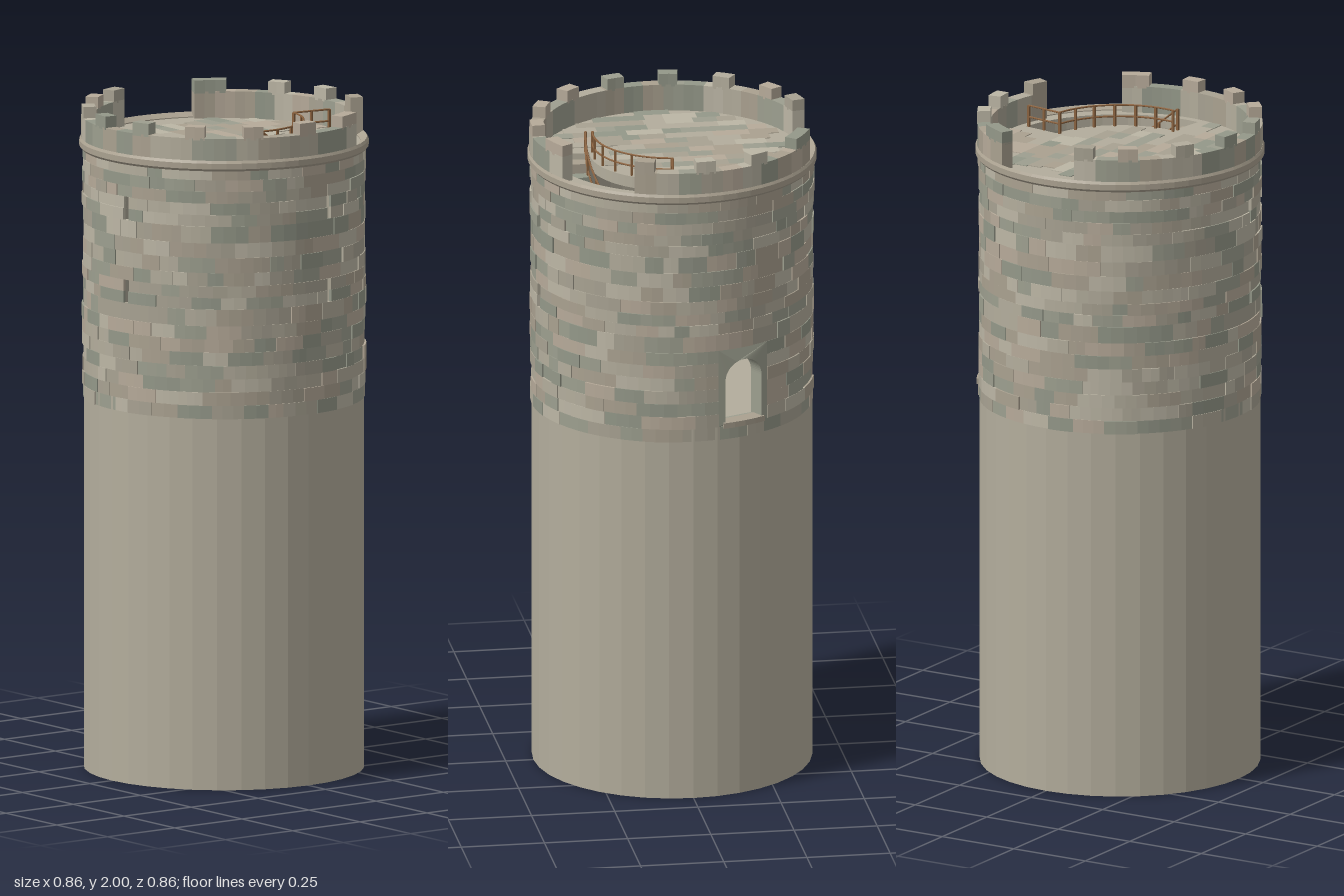
import * as THREE from 'three';
import { mergeGeometries } from 'three/addons/utils/BufferGeometryUtils.js';

const RAD = Math.PI / 180;
const STONES = [0xb3ad9c, 0xa8a292, 0x9d9f8f, 0xb6aa99, 0x949889, 0xaaa190, 0xbcb6a5];
const FLOOR_Y = 1.885;

let seed = 7;
const rand = () => (seed = (seed * 16807) % 2147483647) / 2147483647;
const material = (color) => new THREE.MeshStandardMaterial({ color, flatShading: true, side: THREE.DoubleSide });

// Azimuths are in degrees, from +z towards +x.
const polar = (az, r, y) => new THREE.Vector3(r * Math.sin(az * RAD), y, r * Math.cos(az * RAD));

// Flat ring sector, drawn for extrusion upwards
function sectorShape(r0, r1, a0, a1) {
  const n = Math.max(1, Math.ceil((a1 - a0) / 6));
  const pts = [];
  for (let i = 0; i <= n; i++) pts.push([a0 + ((a1 - a0) * i) / n, r1]);
  for (let i = n; i >= 0; i--) pts.push([a0 + ((a1 - a0) * i) / n, r0]);
  return new THREE.Shape(pts.map(([a, r]) => new THREE.Vector2(r * Math.sin(a * RAD), -r * Math.cos(a * RAD))));
}

function raise(shape, y0, y1) {
  const g = new THREE.ExtrudeGeometry(shape, { depth: y1 - y0, bevelEnabled: false, curveSegments: 24 });
  return g.rotateX(-Math.PI / 2).translate(0, y0, 0);
}
const sector = (r0, r1, a0, a1, y0, y1) => raise(sectorShape(r0, r1, a0, a1), y0, y1);

// Collects stones by colour so each colour becomes one mesh
function stonePile(name) {
  const bins = STONES.map(() => []);
  return {
    add: (g) => bins[Math.floor(rand() * STONES.length)].push(g),
    build() {
      const group = new THREE.Group();
      group.name = name;
      bins.forEach((b, i) => {
        if (!b.length) return;
        const mesh = new THREE.Mesh(mergeGeometries(b.map((g) => (g.index ? g.toNonIndexed() : g))), material(STONES[i]));
        mesh.name = name + 'Stones';
        group.add(mesh);
      });
      return group;
    },
  };
}

export function createModel() {
  seed = 7;
  const model = new THREE.Group();
  const add = (name, geometry, color) => {
    const mesh = new THREE.Mesh(geometry, material(color));
    mesh.name = name;
    model.add(mesh);
  };

  // Plain lower shaft; its top is the floor of the room
  add('lowerShaft', new THREE.CylinderGeometry(0.417, 0.417, 1.16, 36).translate(0, 0.58, 0), 0xb3ad9c);

  // Openings: door and arrow slits
  const door = { az: 202, half: 11.5, y0: 1.16, y1: 1.4 };
  const openings = [door];
  for (const az of [9, 101])
    for (const y0 of [1.45, 1.7]) openings.push({ az, half: 1.3, y0, y1: y0 + 0.07 });

  // Runs fn over the free arcs of a height band
  function freeArcs(y0, y1, fn) {
    const cuts = openings.filter((o) => o.y0 < y1 - 0.001 && o.y1 > y0 + 0.001).sort((a, b) => a.az - b.az);
    if (!cuts.length) {
      const start = rand() * 30;
      return fn(start, start + 360);
    }
    cuts.forEach((c, i) => {
      const next = cuts[(i + 1) % cuts.length];
      fn(c.az + c.half, next.az - next.half + (i === cuts.length - 1 ? 360 : 0));
    });
  }

  // Inner wall
  const levels = [1.15, 1.16, 1.4, 1.45, 1.52, 1.7, 1.77, 1.875];
  const core = [];
  for (let i = 1; i < levels.length; i++)
    freeArcs(levels[i - 1], levels[i], (a, b) => core.push(sector(0.37, 0.411, a, b, levels[i - 1], levels[i])));
  add('innerWall', mergeGeometries(core), 0xa8a292);

  // Courses of stones, broken at each opening
  const masonry = stonePile('masonry');
  const edges = [1.12, 1.16, 1.2, 1.24, 1.28, 1.32, 1.36, 1.4, 1.45, 1.485, 1.52, 1.56, 1.605, 1.65, 1.7, 1.735, 1.77, 1.805, 1.84, 1.872];
  for (let i = 1; i < edges.length; i++)
    freeArcs(edges[i - 1], edges[i], (a, b) => {
      while (a < b - 0.01) {
        let end = a + 6 + rand() * 11;
        if (b - end < 5) end = b;
        masonry.add(sector(0.4, 0.4165 + rand() * 0.0065, a, end, edges[i - 1], edges[i]));
        a = end;
      }
    });
  model.add(masonry.build());

  // Arched door surround, bent to the curve of the wall
  const w = door.half * RAD * 0.415;
  const surround = new THREE.Shape([[-w, 1.16], [w, 1.16], [w, 1.4], [-w, 1.4]].map((p) => new THREE.Vector2(...p)));
  const arch = new THREE.Path();
  arch.moveTo(-0.062, 1.17).lineTo(0.062, 1.17).lineTo(0.062, 1.3).absarc(0, 1.3, 0.062, 0, Math.PI, false).lineTo(-0.062, 1.17);
  surround.holes.push(arch);
  const frame = new THREE.ExtrudeGeometry(surround, { depth: 0.049, bevelEnabled: false, curveSegments: 16 });
  const p = frame.attributes.position;
  for (let i = 0; i < p.count; i++) {
    const v = polar(door.az + p.getX(i) / 0.415 / RAD, 0.37 + p.getZ(i), p.getY(i));
    p.setXYZ(i, v.x, v.y, v.z);
  }
  add('doorSurround', frame, 0x9d9f8f);
  add('doorSill', sector(0.38, 0.426, door.az - 9.5, door.az + 9.5, 1.155, 1.172), 0xaaa190);

  // Cornice ring
  const ring = [[0.405, 1.868], [0.424, 1.868], [0.43, 1.875], [0.43, 1.892], [0.425, 1.9], [0.405, 1.888], [0.405, 1.868]];
  add('cornice', new THREE.LatheGeometry(ring.map((q) => new THREE.Vector2(...q)), 60), 0xaaa190);

  // Parapet in two runs, with gaps between them
  const parapet = stonePile('parapet');
  for (const [from, to] of [[156, 246], [283, 481]]) {
    const n = Math.round((to - from) / 9);
    for (let i = 0; i < n; i++) {
      const a = from + ((to - from) * i) / n;
      parapet.add(sector(0.385, 0.424, a, a + (to - from) / n, 1.87, 1.966));
    }
  }
  model.add(parapet.build());

  // Merlons, wider at the ends of a run
  const merlons = stonePile('merlon');
  const spans = [[156, 164], [232, 246], [283, 291], [469, 481]];
  for (const az of [185, 209, 305, 329, 353, 377, 401, 425, 449]) spans.push([az - 4, az + 4]);
  for (const [a, b] of spans) merlons.add(sector(0.385, 0.424, a, b, 1.96, 2));
  model.add(merlons.build());

  // Roof deck with the stairwell cut out
  const deck = new THREE.Shape().absarc(0, 0, 0.412, 0, Math.PI * 2, false);
  const well = sectorShape(0.245, 0.362, 82, 172);
  deck.holes.push(new THREE.Path(well.getPoints()));
  add('roofDeck', raise(deck, 1.85, FLOOR_Y), 0xb3ad9c);

  // Paving stones in rows, kept clear of the wall and the stairwell
  const paving = stonePile('paving');
  const row = 0.043;
  for (let z = -0.387; z < 0.38; z += row)
    for (let x = -0.4; x < 0.38; ) {
      const len = 0.05 + rand() * 0.06;
      const corners = [[x, z], [x + len, z], [x, z + row], [x + len, z + row], [x + len / 2, z + row / 2]];
      const clear = corners.every(([cx, cz]) => {
        const r = Math.hypot(cx, cz);
        const az = Math.atan2(cx, cz) / RAD;
        return r < 0.4 && !(r > 0.244 && az > 80 && az < 174);
      });
      if (clear) paving.add(new THREE.BoxGeometry(len, 0.004, row).translate(x + len / 2, FLOOR_Y, z + row / 2));
      x += len;
    }
  model.add(paving.build());

  // Curved stair winding down to the room
  const steps = stonePile('stair');
  const stepY = (i) => 1.865 - i * 0.029;
  for (let i = 0; i < 24; i++) steps.add(sector(0.252, 0.358, 82 + i * 8.2, 90.6 + i * 8.2, stepY(i) - 0.035, stepY(i)));
  model.add(steps.build());

  // Wooden railings: one on the deck, one following the stair, one closing the far end
  const wood = [];
  const bar = (points) => wood.push(new THREE.TubeGeometry(new THREE.CatmullRomCurve3(points), points.length * 2, 0.003, 6));
  const railing = (points, heights) => {
    for (const h of heights) bar(points.map((q) => q.clone().setY(q.y + h)));
    const top = Math.max(...heights);
    points.forEach((q, i) => {
      if (i % 2 === 0) wood.push(new THREE.BoxGeometry(0.007, top, 0.007).translate(q.x, q.y + top / 2, q.z));
    });
  };
  const arc = (r, y) => Array.from({ length: 13 }, (_, i) => polar(80 + i * 7.6, r, y(i)));
  railing(arc(0.236, () => FLOOR_Y), [0.03, 0.065]);
  railing(arc(0.257, (i) => stepY(i * 0.93)), [0.04, 0.085]);
  railing([0.236, 0.266, 0.296, 0.326, 0.356].map((r) => polar(171.5, r, FLOOR_Y)), [0.03, 0.065]);
  add('railing', mergeGeometries(wood), 0x8a623f);

  return model;
}
